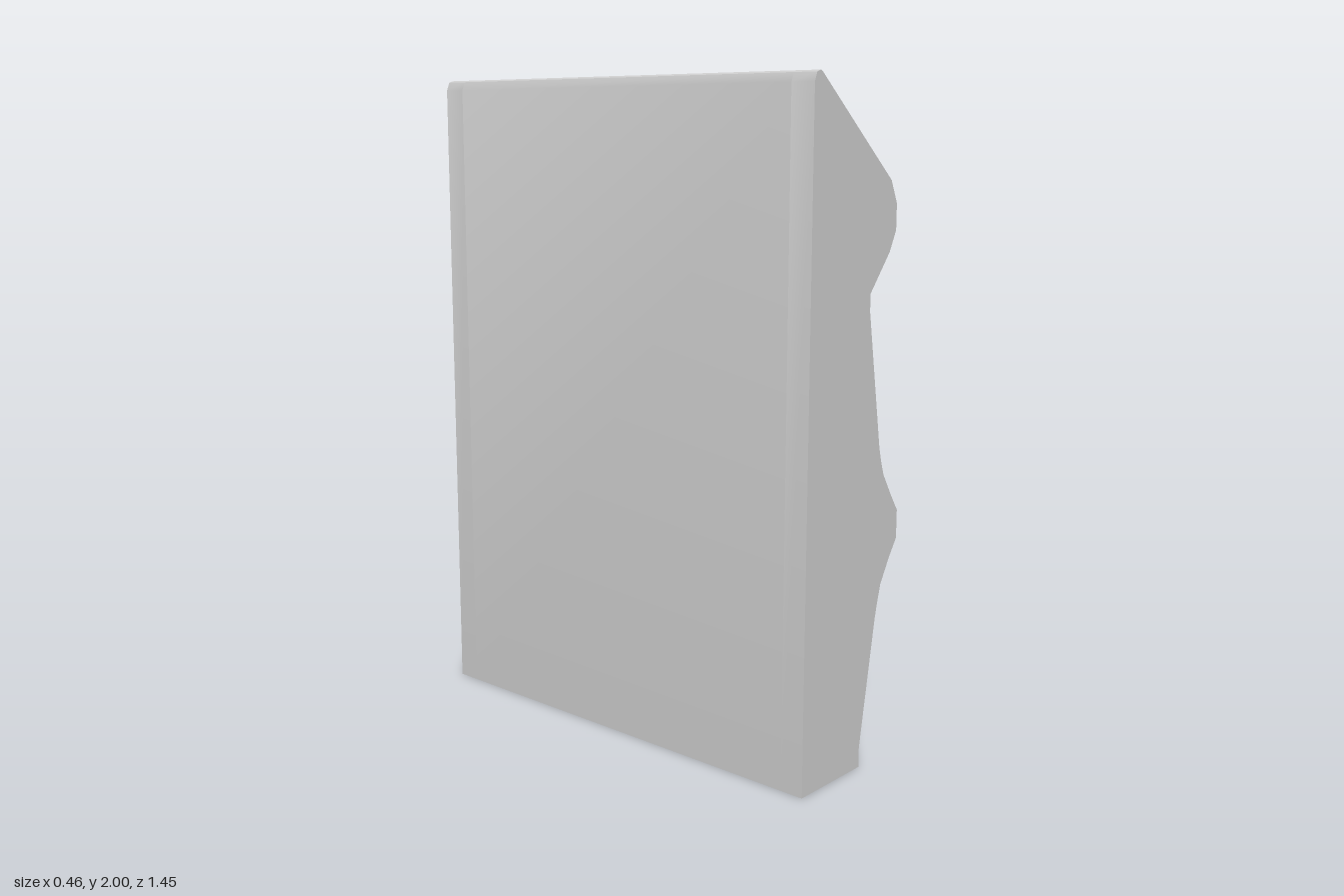
import * as THREE from 'three';
import { toCreasedNormals } from 'three/addons/utils/BufferGeometryUtils.js';

const INNER = 0.65, OUTER = 0.725, BACK = -0.23, PANEL = -0.165;

// Rounded upper edge shared by the sides and the back panel
const topEdge = [[-0.195, 1.995], [-0.205, 2], [-0.22, 1.995], [BACK, 1.97]];

const sideProfile = [
  [BACK, 0], [0.05, 0], [0.05, 0.06], [0.115, 0.44], [0.125, 0.485], [0.14, 0.54],
  [0.18, 0.61], [0.217, 0.665], [0.217, 0.75], [0.18, 0.805], [0.14, 0.87],
  [0.125, 0.915], [0.115, 0.955], [0.05, 1.35], [0.05, 1.4], [0.14, 1.51],
  [0.17, 1.57], [0.17, 1.645], [0.14, 1.71], ...topEdge,
];
const panelProfile = [[BACK, 0], [PANEL, 0], [PANEL, 1.968], ...topEdge];

export function createModel() {
  const group = new THREE.Group();
  const material = new THREE.MeshStandardMaterial({ color: 0xcccccc });

  const add = (name, geometry, x = 0, y = 0, z = 0) => {
    const mesh = new THREE.Mesh(geometry, material);
    mesh.name = name;
    mesh.position.set(x, y, z);
    group.add(mesh);
  };

  // Plate cut to a profile in x and y, extruded along z
  const plate = (points, depth) => {
    const shape = new THREE.Shape(points.map(([x, y]) => new THREE.Vector2(x, y)));
    const geometry = new THREE.ExtrudeGeometry(shape, { depth, bevelEnabled: false });
    return toCreasedNormals(geometry.translate(0, 0, -depth / 2), 0.75);
  };

  // Chamfered nose: a box whose outer face is narrowed
  const nose = () => {
    const geometry = new THREE.BoxGeometry(0.013, 0.085, OUTER - INNER);
    const p = geometry.attributes.position;
    for (let i = 0; i < p.count; i++) {
      if (p.getX(i) > 0) {
        p.setY(i, Math.sign(p.getY(i)) * 0.02);
        p.setZ(i, Math.sign(p.getZ(i)) * 0.026);
      }
    }
    geometry.computeVertexNormals();
    return geometry;
  };

  // Side walls with their noses
  for (const [label, s] of [['right', 1], ['left', -1]]) {
    const z = s * (INNER + OUTER) / 2;
    add(`${label}Side`, plate(sideProfile, OUTER - INNER), 0, 0, z);
    add(`${label}SideNose`, nose(), 0.2235, 0.7075, z);
  }

  add('backPanel', plate(panelProfile, 2 * INNER));

  // Shelves: bottom, top and front of each
  const shelves = [
    ['bottomShelf', 0, 0.06, 0.05],
    ['middleShelf', 0.67, 0.745, 0.22],
    ['topShelf', 1.35, 1.4, 0.05],
  ];
  for (const [name, y0, y1, front] of shelves) {
    add(name, new THREE.BoxGeometry(front - PANEL, y1 - y0, 2 * INNER),
      (front + PANEL) / 2, (y0 + y1) / 2);
  }

  return group;
}
